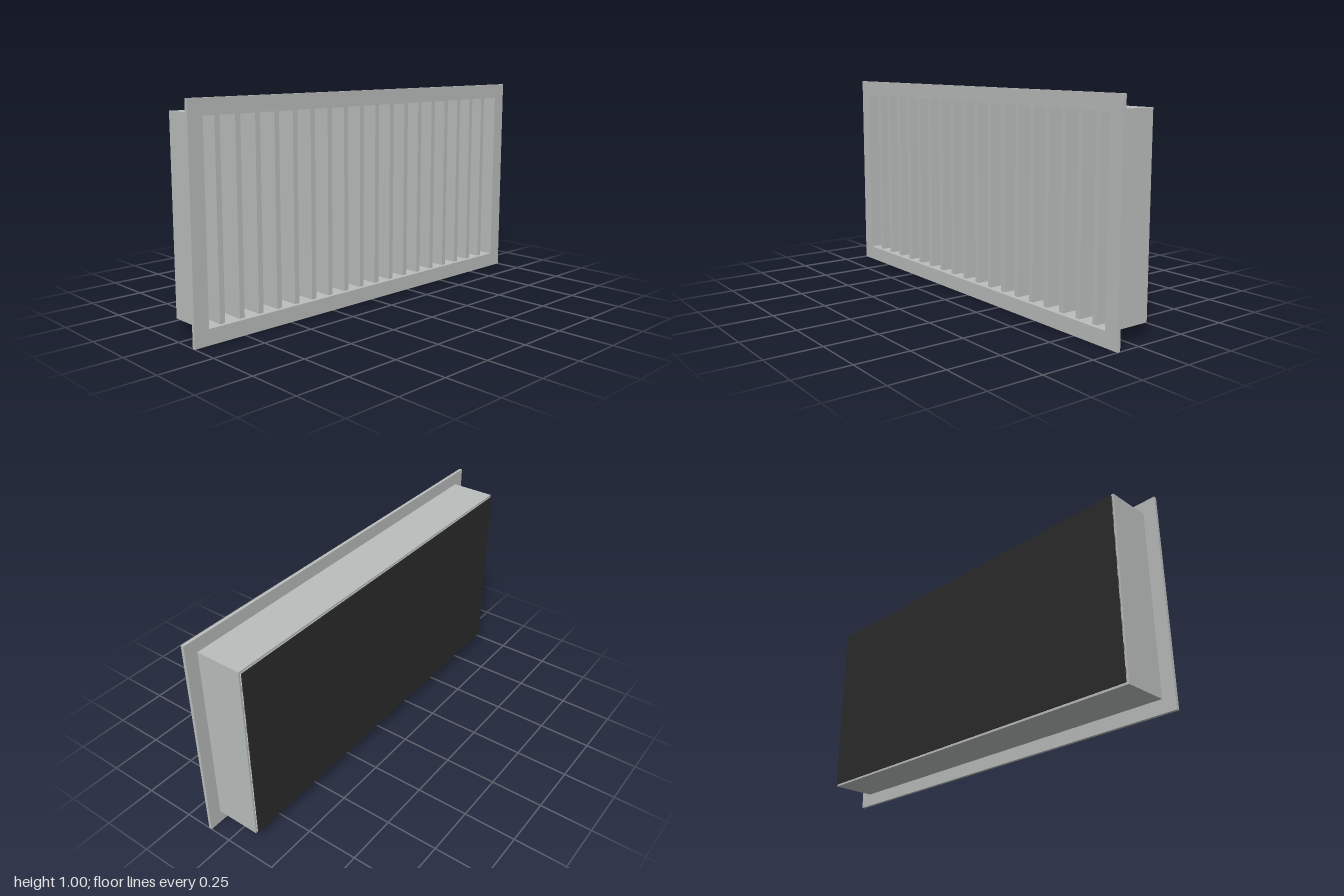
import * as THREE from 'three';

export function createModel() {
  const model = new THREE.Group();
  model.name = 'ventGrille';

  const metal = new THREE.MeshStandardMaterial({ color: 0xb9bdbb });
  metal.name = 'light grey metal';
  const dark = new THREE.MeshStandardMaterial({ color: 0x2b2b2b });
  dark.name = 'dark backing';

  const midY = 0.5;

  function box(name, w, h, d, x, y, z, material, parent = model) {
    const mesh = new THREE.Mesh(new THREE.BoxGeometry(w, h, d), material);
    mesh.name = name;
    mesh.position.set(x, y, z);
    parent.add(mesh);
  }

  // Rectangular ring between z0 and z1, given by half sizes
  function ring(name, outerX, outerY, innerX, innerY, z0, z1) {
    const shape = new THREE.Shape([
      new THREE.Vector2(-outerX, -outerY), new THREE.Vector2(outerX, -outerY),
      new THREE.Vector2(outerX, outerY), new THREE.Vector2(-outerX, outerY),
    ]);
    shape.holes.push(new THREE.Path([
      new THREE.Vector2(-innerX, -innerY), new THREE.Vector2(-innerX, innerY),
      new THREE.Vector2(innerX, innerY), new THREE.Vector2(innerX, -innerY),
    ]));
    const geometry = new THREE.ExtrudeGeometry(shape, { depth: z1 - z0, bevelEnabled: false });
    const mesh = new THREE.Mesh(geometry, metal);
    mesh.name = name;
    mesh.position.set(0, midY, z0);
    model.add(mesh);
  }

  // Front flange and the duct collar behind it
  ring('frontFrame', 1, 0.5, 0.93, 0.43, 0.105, 0.12);
  ring('ductCollar', 0.938, 0.438, 0.93, 0.43, -0.11, 0.105);

  // Upright blades just behind the opening
  const uprights = new THREE.Group();
  uprights.name = 'verticalBlades';
  for (let i = 0; i < 18; i++) {
    box('verticalBlade', 0.025, 0.86, 0.13, -0.85 + i * 0.1, midY, 0.035, metal, uprights);
  }

  // Level blades behind the uprights
  const levels = new THREE.Group();
  levels.name = 'horizontalBlades';
  for (let i = 0; i < 8; i++) {
    box('horizontalBlade', 1.86, 0.013, 0.06, 0, 0.15 + i * 0.1, -0.07, metal, levels);
  }
  model.add(uprights, levels);

  // Dark panel closing the rear
  box('backPanel', 1.86, 0.86, 0.005, 0, midY, -0.1175, dark);

  return model;
}
